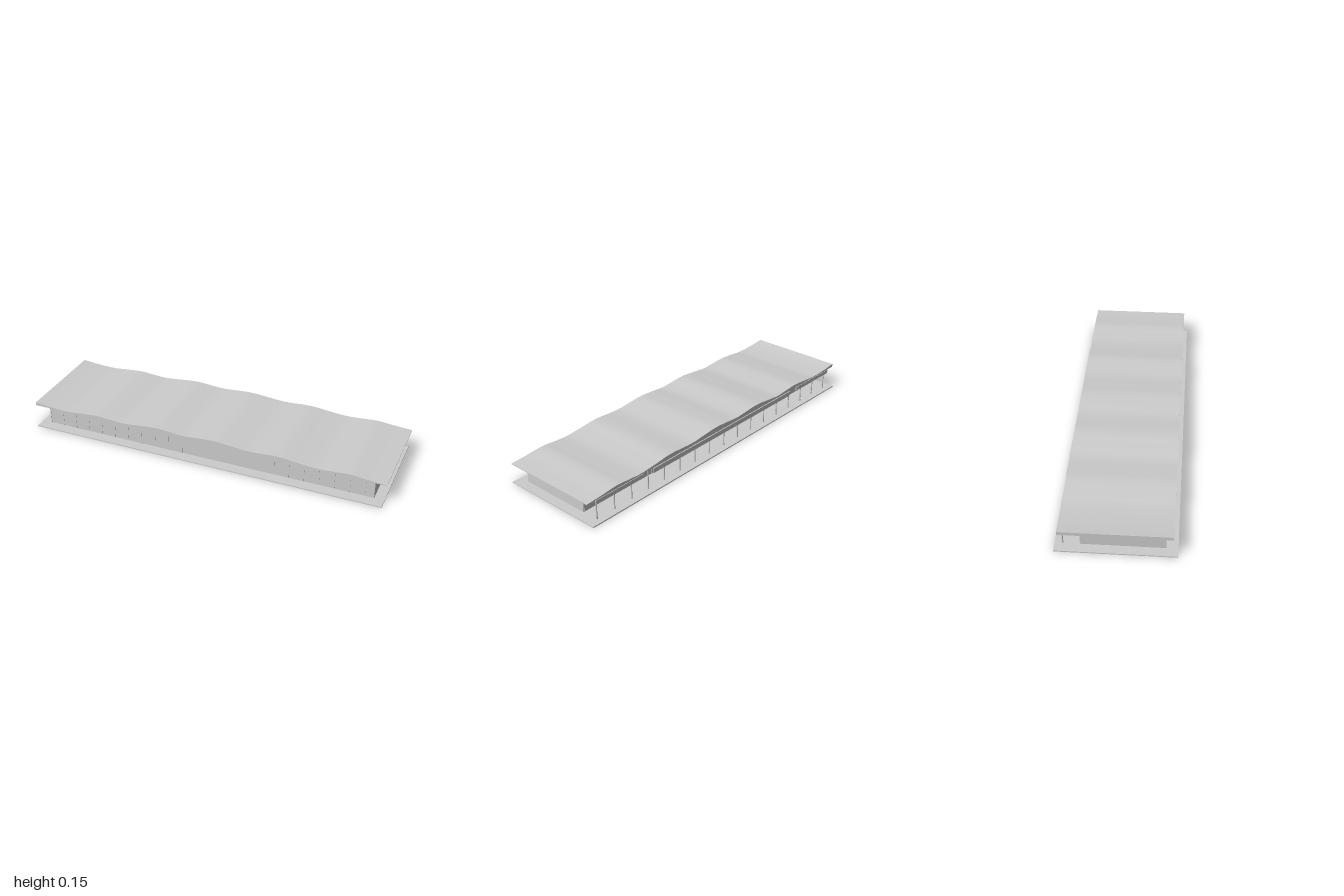
import * as THREE from 'three';

export function createModel() {
  const model = new THREE.Group();
  const grey = new THREE.MeshStandardMaterial({ color: 0xcccccc });
  grey.name = 'light grey';

  function add(name, geometry, x = 0, y = 0, z = 0) {
    const mesh = new THREE.Mesh(geometry, grey);
    mesh.name = name;
    mesh.position.set(x, y, z);
    model.add(mesh);
    return mesh;
  }
  // Box given by its limits on each axis
  function block(name, x0, x1, y0, y1, z0, z1) {
    return add(name, new THREE.BoxGeometry(x1 - x0, y1 - y0, z1 - z0),
      (x0 + x1) / 2, (y0 + y1) / 2, (z0 + z1) / 2);
  }

  const floorY = 0.006, soffitY = 0.123;
  const wallX = 0.935, wallFront = 0.235, wallBack = -0.17;

  // Ground slab and main hall
  block('groundSlab', -0.988, 0.988, 0, floorY, -0.295, 0.295);
  block('hall', -wallX, wallX, floorY, soffitY, wallBack, wallFront);

  // Roof: flat soffit with a gently waving top, run from back to front
  const crest = [
    [-1, 0.141], [-0.91, 0.132], [-0.8, 0.128], [-0.72, 0.135], [-0.62, 0.143],
    [-0.53, 0.138], [-0.45, 0.134], [-0.35, 0.144], [-0.25, 0.152], [-0.1, 0.142],
    [0, 0.149], [0.09, 0.153], [0.18, 0.146], [0.28, 0.139], [0.43, 0.147],
    [0.54, 0.137], [0.64, 0.13], [0.73, 0.135], [0.81, 0.14], [0.91, 0.132], [1, 0.127],
  ].map(([x, y]) => new THREE.Vector2(x, y));
  const profile = new THREE.Shape();
  profile.moveTo(1, soffitY);
  for (const p of new THREE.SplineCurve(crest).getPoints(120).reverse()) profile.lineTo(p.x, p.y);
  profile.lineTo(-1, soffitY);
  profile.closePath();
  const roof = new THREE.ExtrudeGeometry(profile, { depth: 0.546, bevelEnabled: false });
  add('wavyRoof', roof, 0, 0, -0.273);

  // Front glazing bars: two runs either side of a plain middle wall
  const pitch = 0.0813;
  for (let i = 0; i <= 10; i++) frontBar(-wallX + 0.002 + i * pitch);
  for (let i = 0; i <= 6; i++) frontBar(0.4 + i * pitch);
  frontBar(wallX - 0.002);
  function frontBar(x) {
    block('frontGlazingBar', x - 0.002, x + 0.002, floorY, soffitY, wallFront, wallFront + 0.002);
  }

  // Back colonnade with matching wall bars
  const post = new THREE.CylinderGeometry(0.0035, 0.0035, soffitY - floorY, 12);
  const foot = new THREE.CylinderGeometry(0.0045, 0.0045, 0.012, 12);
  for (let i = 0; i <= 16; i++) {
    const x = -0.93 + i * 0.11625;
    add('column', post, x, (floorY + soffitY) / 2, -0.2575);
    add('columnFoot', foot, x, floorY + 0.006, -0.2575);
    block('backGlazingBar', x - 0.002, x + 0.002, floorY, soffitY, wallBack - 0.004, wallBack);
  }

  // Hanging fascia boards at the back edge: a middle one and one near each end
  block('middleFascia', -0.563, 0.563, 0.097, soffitY, -0.279, -0.274);
  for (const side of [-1, 1]) {
    const a = side * 0.63, b = side * 0.945;
    block('endFascia', Math.min(a, b), Math.max(a, b), 0.102, soffitY, -0.276, -0.271);

    // Small soffit lamps under the end overhangs
    for (const z of [0.155, 0.13, -0.01, -0.07, -0.095]) {
      add('soffitLamp', new THREE.CylinderGeometry(0.004, 0.004, 0.003, 12), side * 0.967, soffitY - 0.001, z);
    }
  }
  return model;
}
